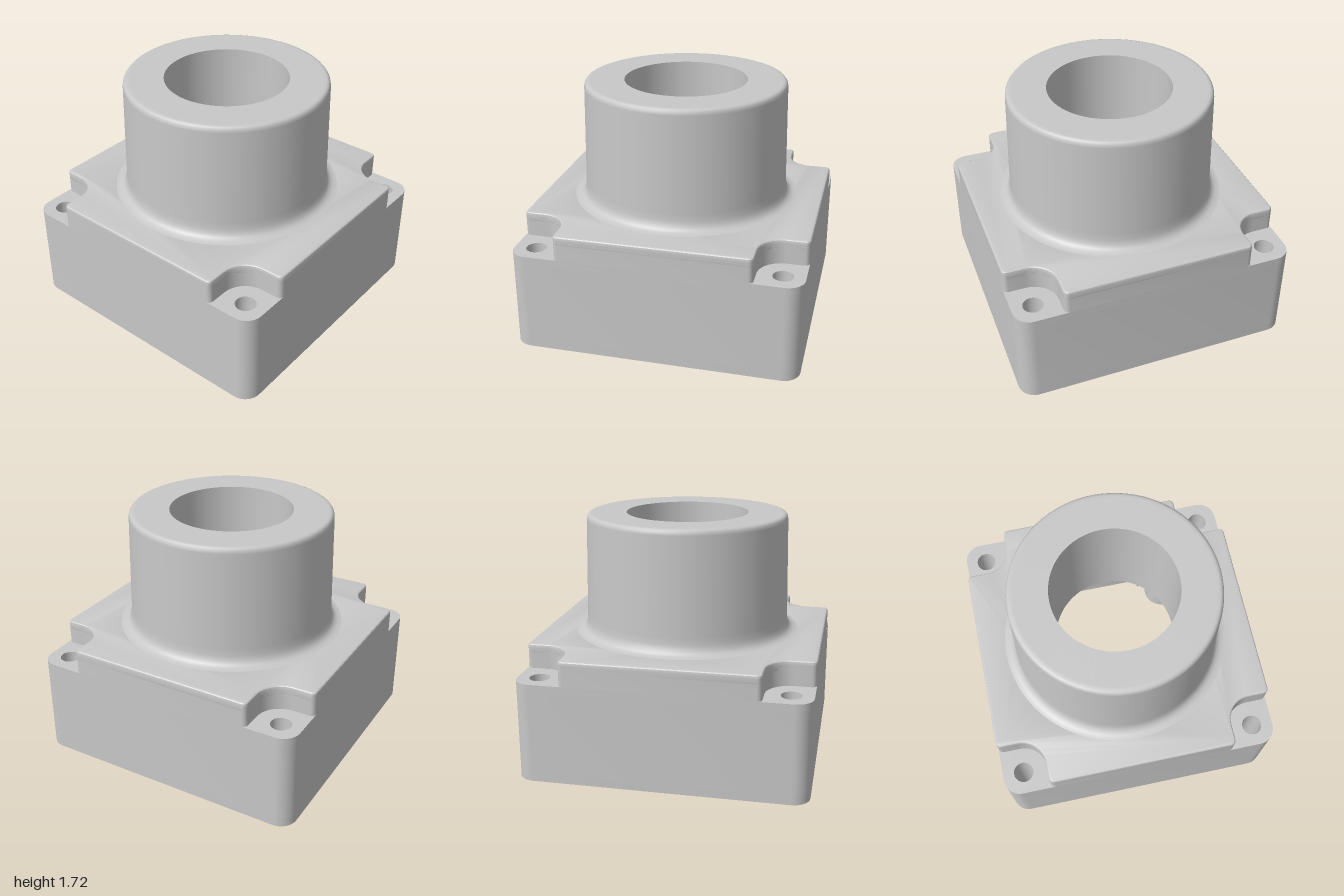
import * as THREE from 'three';
import { toCreasedNormals } from 'three/addons/utils/BufferGeometryUtils.js';

const metal = new THREE.MeshStandardMaterial({ color: 0xc8c8c8 });
metal.name = 'castGrey';

const V = (x, y) => new THREE.Vector2(x, y);

// Repeats one corner's points around the four corners
function fourCorners(points) {
  const out = [];
  for (let q = 0; q < 4; q++) {
    for (const p of points) out.push(p.clone().rotateAround(V(0, 0), q * Math.PI / 2));
  }
  return out;
}

function arc(cx, cy, r, a0, a1, n) {
  const pts = [];
  for (let i = 0; i <= n; i++) {
    const a = a0 + (a1 - a0) * i / n;
    pts.push(V(cx + r * Math.cos(a), cy + r * Math.sin(a)));
  }
  return pts;
}

const circle = (x, y, r) => arc(x, y, r, 0, Math.PI * 2, 48).slice(0, -1);
const roundedSquare = (h, r) => fourCorners(arc(h - r, h - r, r, 0, Math.PI / 2, 10));
const cutSquare = (h, c) => fourCorners([
  ...arc(h - 0.04, c - 0.025, 0.04, 0, Math.PI / 4, 4),
  ...arc(c - 0.025, h - 0.04, 0.04, Math.PI / 4, Math.PI / 2, 4),
]);

// Square with a rounded screw pocket cut from each corner
const notched = () => fourCorners([
  ...arc(0.965, 0.64, 0.035, 0, Math.PI / 2, 5),
  ...arc(0.85, 0.85, 0.175, -Math.PI / 2, -Math.PI, 14),
  ...arc(0.64, 0.965, 0.035, 0, Math.PI / 2, 5),
]);

// Horizontal slab between two heights, with optional rounded rims
function slab(name, outline, holes, y0, y1, bevel = 0) {
  const shape = new THREE.Shape(outline);
  for (const h of holes) shape.holes.push(new THREE.Path(h));
  const geo = new THREE.ExtrudeGeometry(shape, {
    depth: y1 - y0 - 2 * bevel,
    bevelEnabled: bevel > 0,
    bevelThickness: bevel,
    bevelSize: bevel,
    bevelOffset: -bevel,
    bevelSegments: 3,
  });
  geo.translate(0, 0, bevel);
  geo.rotateX(-Math.PI / 2);
  geo.translate(0, y0, 0);
  const mesh = new THREE.Mesh(toCreasedNormals(geo, 0.4), metal);
  mesh.name = name;
  return mesh;
}

function box(name, w, h, d, x, y, z) {
  const mesh = new THREE.Mesh(new THREE.BoxGeometry(w, h, d), metal);
  mesh.position.set(x, y, z);
  mesh.name = name;
  return mesh;
}

export function createModel() {
  const model = new THREE.Group();
  model.name = 'flangedHousing';

  const outer = roundedSquare(1, 0.12);
  const cavity = cutSquare(0.74, 0.64);
  const recess = fourCorners([V(0.5, 0.5)]);
  const screws = fourCorners([V(0.85, 0.85)]).map(p => circle(p.x, p.y, 0.07));

  // Hollow square base, stacked from the seal groove to the deck
  model.add(
    slab('sealRim', outer, [cutSquare(0.88, 0.68), ...screws], 0, 0.06),
    slab('sealRidge', cutSquare(0.82, 0.66), [cavity], 0.02, 0.06),
    slab('baseWalls', outer, [cavity, ...screws], 0.06, 0.65),
    slab('pocketFloor', outer, [recess, ...screws], 0.65, 0.7),
    slab('deckWalls', notched(), [recess], 0.7, 0.85),
    slab('deckTop', notched(), [circle(0, 0, 0.72)], 0.8, 0.875, 0.015),
  );

  // Tapered hub with a fillet at its foot and a straight bore
  const profiles = {
    hubUnderside: [V(0.435, 0.84), V(0.73, 0.84)],
    hubOutside: [
      V(0.83, 0.873), V(0.805, 0.876), V(0.78, 0.882), V(0.758, 0.894), V(0.742, 0.917),
      V(0.734, 0.95), V(0.731, 1.0), V(0.718, 1.68), V(0.714, 1.702), V(0.704, 1.715),
      V(0.69, 1.72), V(0.67, 1.72),
    ],
    hubTop: [V(0.67, 1.72), V(0.435, 1.72)],
    hubBore: [V(0.435, 1.72), V(0.435, 0.84)],
  };
  for (const [name, pts] of Object.entries(profiles)) {
    const mesh = new THREE.Mesh(new THREE.LatheGeometry(pts, 80), metal);
    mesh.name = name;
    model.add(mesh);
  }

  // Two opposite inner bosses, each with a blind hole and webs to the walls
  for (const s of [1, -1]) {
    const boss = slab('innerBoss', circle(0, 0, 0.135), [circle(0, 0, 0.05)], 0.1, 0.845);
    boss.position.set(s * 0.52, 0, -s * 0.58);
    const cornerWeb = box('cornerWeb', 0.24, 0.55, 0.16, s * 0.65, 0.375, -s * 0.67);
    cornerWeb.rotation.y = -Math.PI / 4;
    model.add(
      boss,
      cornerWeb,
      box('bossWeb', 0.2, 0.55, 0.1, s * 0.43, 0.375, -s * 0.7),
      box('bossWeb', 0.12, 0.55, 0.14, s * 0.69, 0.375, -s * 0.47),
    );
  }

  // Locating pins
  for (const [x, z] of [[-0.4, 0.67], [0.68, -0.42]]) {
    const pin = new THREE.Mesh(new THREE.CylinderGeometry(0.032, 0.032, 0.6, 20), metal);
    pin.position.set(x, 0.35, z);
    pin.name = 'locatingPin';
    model.add(pin);
  }

  // Small tab on the inner wall
  model.add(box('wallTab', 0.12, 0.12, 0.07, -0.69, 0.5, 0.16));
  return model;
}
